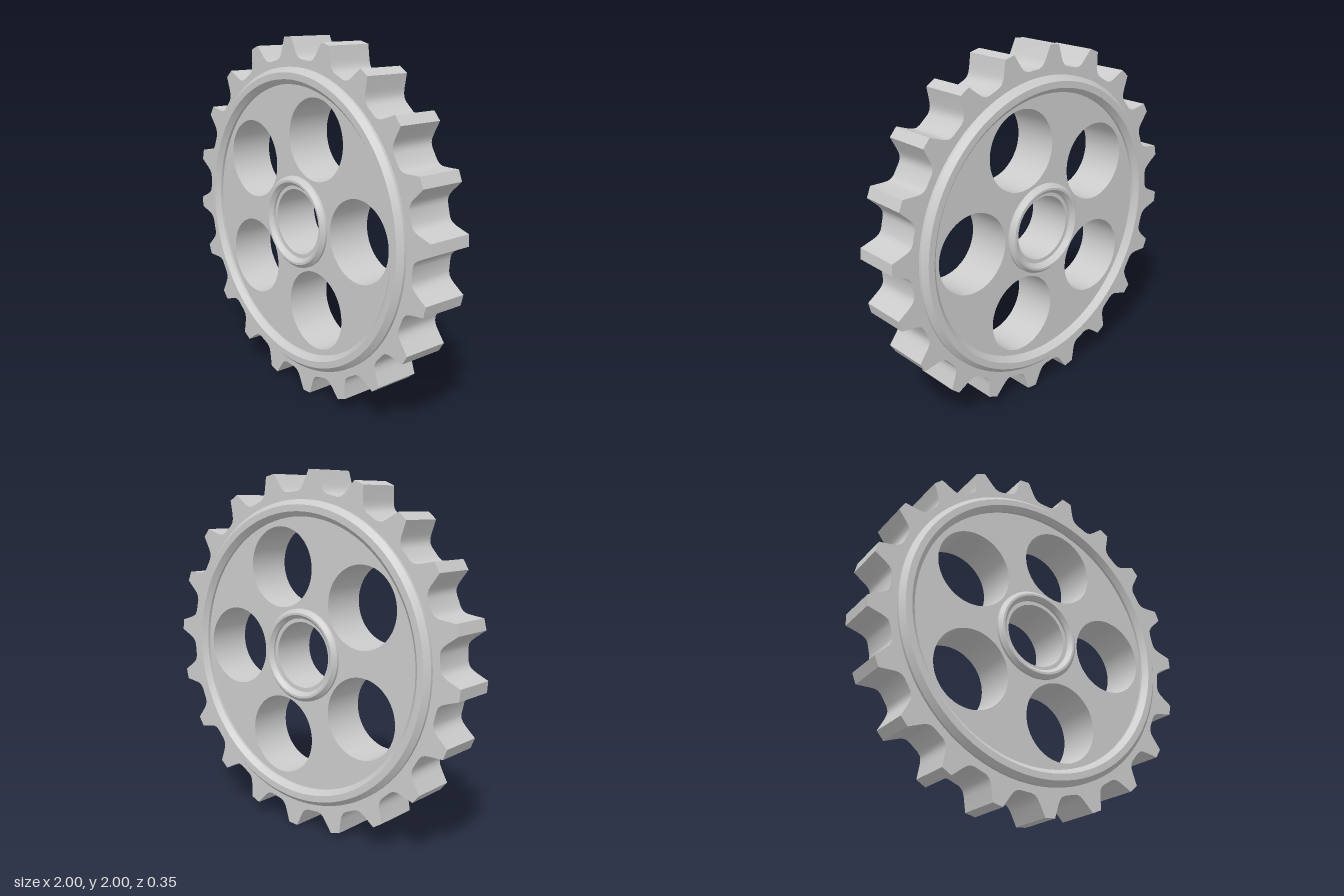
import * as THREE from 'three';
import { toCreasedNormals } from 'three/addons/utils/BufferGeometryUtils.js';

const TEETH = 20;
const HALF = 0.132; // half thickness of the toothed disc
const material = new THREE.MeshStandardMaterial({ color: 0xcccccc });

// Half of one tooth, tip to root: [radius, degrees from tooth centre]
const FLANK = [[1, 1.75], [0.93, 3.6], [0.908, 4.4], [0.893, 5.4], [0.886, 6.8]];

function discGeometry() {
  const points = [];
  const add = (r, deg) => {
    const a = THREE.MathUtils.degToRad(deg);
    points.push(new THREE.Vector2(r * Math.cos(a), r * Math.sin(a)));
  };
  for (let i = 0; i < TEETH; i++) {
    const centre = 4.4 + i * 360 / TEETH;
    for (const [r, d] of [...FLANK].reverse()) add(r, centre - d);
    for (const [r, d] of FLANK) add(r, centre + d);
  }
  const shape = new THREE.Shape(points);

  const hole = (x, y, r) => shape.holes.push(new THREE.Path().absarc(x, y, r, 0, Math.PI * 2, true));
  hole(0, 0, 0.183); // axle bore
  for (let i = 0; i < 5; i++) {
    const a = i * Math.PI * 2 / 5;
    hole(0.5 * Math.cos(a), 0.5 * Math.sin(a), 0.222);
  }
  const geometry = new THREE.ExtrudeGeometry(shape, { depth: HALF * 2, bevelEnabled: false, curveSegments: 32 });
  geometry.translate(0, 0, -HALF);
  return toCreasedNormals(geometry, 0.6);
}

// Raised ring with a chamfer on both edges, standing on the disc's +z face
function ringGeometry(inner, outer, top, chamfer) {
  const profile = [
    [outer, HALF - 0.01], [outer, top - chamfer], [outer - chamfer, top],
    [inner + chamfer, top], [inner, top - chamfer], [inner, HALF - 0.01],
  ].map(([r, z]) => new THREE.Vector2(r, z));
  const geometry = new THREE.LatheGeometry(profile, 96);
  geometry.rotateX(Math.PI / 2);
  return toCreasedNormals(geometry, 0.5);
}

export function createModel() {
  const model = new THREE.Group();
  model.name = 'gearWheel';
  const gear = new THREE.Group();
  gear.name = 'gear';
  gear.position.y = 1;
  model.add(gear);

  const add = (name, geometry) => {
    const mesh = new THREE.Mesh(geometry, material);
    mesh.name = name;
    gear.add(mesh);
    return mesh;
  };

  add('toothedDisc', discGeometry());

  // Rim and hub rings on both faces
  const rim = ringGeometry(0.753, 0.843, 0.174, 0.027);
  const hub = ringGeometry(0.205, 0.257, 0.165, 0.02);
  for (const [side, turn] of [['front', 0], ['back', Math.PI]]) {
    add(side + 'Rim', rim).rotation.y = turn;
    add(side + 'Hub', hub).rotation.y = turn;
  }
  return model;
}
